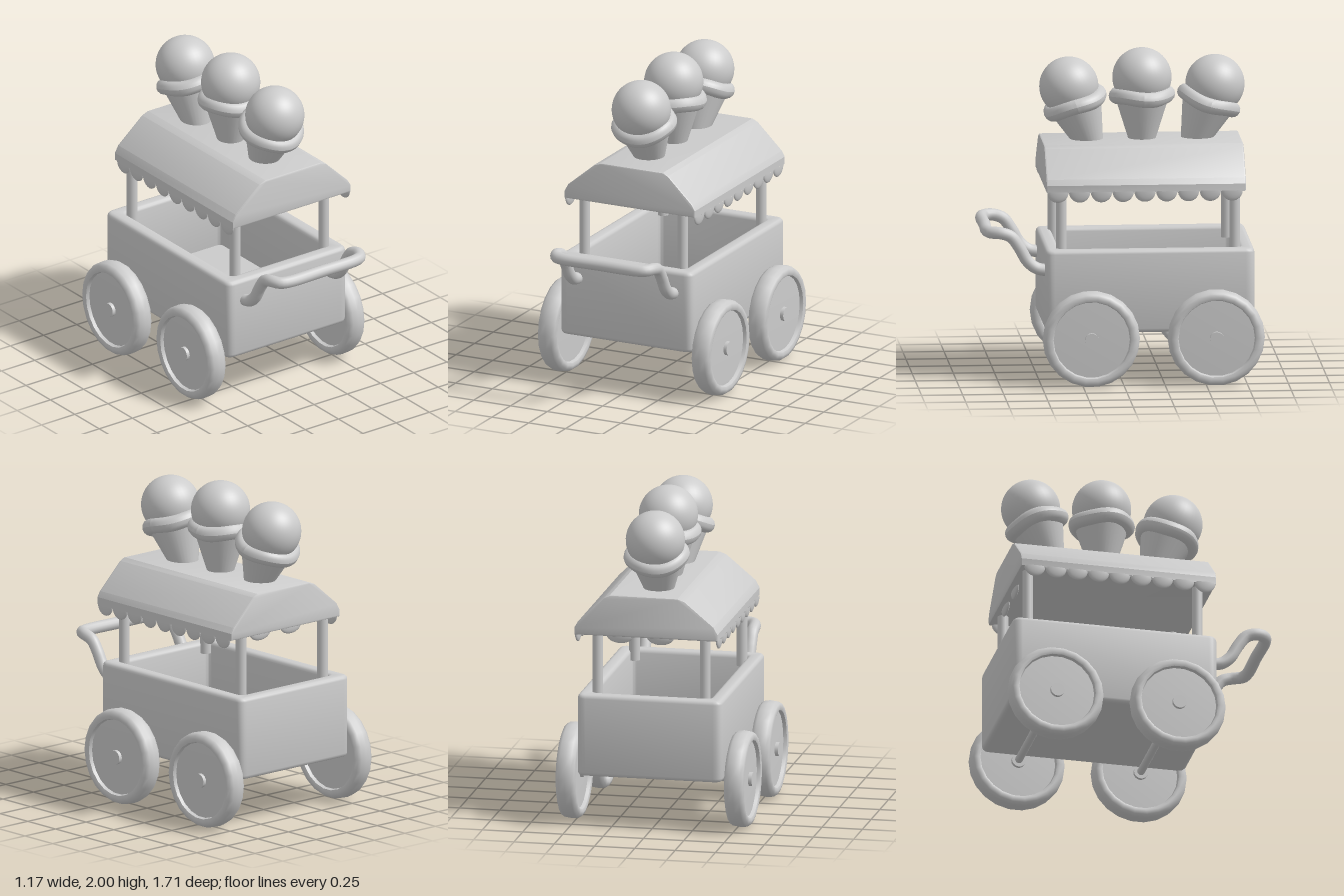
import * as THREE from 'three';
import { toCreasedNormals } from 'three/addons/utils/BufferGeometryUtils.js';

const lightGrey = new THREE.MeshStandardMaterial({ color: 0xcccccc });
lightGrey.name = 'lightGrey';

function add(parent, name, geometry, x = 0, y = 0, z = 0) {
  const mesh = new THREE.Mesh(geometry, lightGrey);
  mesh.name = name;
  mesh.position.set(x, y, z);
  parent.add(mesh);
  return mesh;
}

// Rounded rectangle traced onto a Shape or Path
function roundedRect(path, x0, y0, x1, y1, r) {
  path.moveTo(x0 + r, y0);
  path.lineTo(x1 - r, y0);
  path.quadraticCurveTo(x1, y0, x1, y0 + r);
  path.lineTo(x1, y1 - r);
  path.quadraticCurveTo(x1, y1, x1 - r, y1);
  path.lineTo(x0 + r, y1);
  path.quadraticCurveTo(x0, y1, x0, y1 - r);
  path.lineTo(x0, y0 + r);
  path.quadraticCurveTo(x0, y0, x0 + r, y0);
  return path;
}

// Vertical extrusion of a plan drawn in x and -z
function extrudeUp(shape, height, bevel) {
  const g = new THREE.ExtrudeGeometry(shape, {
    depth: height - 2 * bevel, bevelSize: bevel, bevelThickness: bevel,
    bevelOffset: -bevel, bevelSegments: 3, curveSegments: 5,
  });
  g.translate(0, 0, bevel);
  g.rotateX(-Math.PI / 2);
  return toCreasedNormals(g, 0.7);
}

// Ice cream cone with a scoop and a soft collar
function makeCone(x, y, z, tilt) {
  const cone = new THREE.Group();
  cone.name = 'iceCreamCone';
  add(cone, 'wafer', new THREE.CylinderGeometry(0.158, 0.07, 0.28, 32), 0, 0.14, 0);
  add(cone, 'scoop', new THREE.SphereGeometry(0.18, 40, 28), 0, 0.42, 0);
  const collar = new THREE.TorusGeometry(0.153, 0.049, 14, 48);
  collar.rotateX(Math.PI / 2);
  // gentle waves around the melted edge
  const p = collar.attributes.position;
  for (let i = 0; i < p.count; i++) {
    const a = Math.atan2(p.getZ(i), p.getX(i));
    p.setY(i, p.getY(i) + 0.008 * Math.sin(3 * a + z * 5));
  }
  collar.computeVertexNormals();
  add(cone, 'collar', collar, 0, 0.31, 0);
  cone.position.set(x, y, z);
  cone.rotation.x = tilt;
  return cone;
}

// Wheel with a recessed disc and rounded tyre, axis along x
function makeWheel(x, z) {
  const wheel = new THREE.Group();
  wheel.name = 'wheel';
  const half = [[0.0, 0.042], [0.232, 0.036], [0.238, 0.057], [0.255, 0.063], [0.278, 0.056], [0.291, 0.036], [0.296, 0]];
  const profile = [
    ...half.map(([r, h]) => new THREE.Vector2(r, -h)),
    ...half.slice(0, -1).reverse().map(([r, h]) => new THREE.Vector2(r, h)),
  ];
  const tyre = new THREE.LatheGeometry(profile, 22);
  tyre.rotateZ(Math.PI / 2);
  add(wheel, 'tyre', toCreasedNormals(tyre, 0.75));
  const hub = new THREE.CylinderGeometry(0.043, 0.043, 0.125, 16);
  hub.rotateZ(Math.PI / 2);
  add(wheel, 'hub', hub);
  wheel.position.set(x, 0.297, z);
  return wheel;
}

export function createModel() {
  const cart = new THREE.Group();
  cart.name = 'iceCreamCart';

  // Open tub: walls with a rim, and a floor
  const plan = roundedRect(new THREE.Shape(), -0.44, -0.47, 0.46, 0.8, 0.055);
  plan.holes.push(roundedRect(new THREE.Path(), -0.35, -0.38, 0.37, 0.71, 0.03));
  add(cart, 'tub', extrudeUp(plan, 0.51, 0.025), 0, 0.32, 0);
  const base = roundedRect(new THREE.Shape(), -0.41, -0.44, 0.43, 0.77, 0.04);
  add(cart, 'tubFloor', extrudeUp(base, 0.09, 0.005), 0, 0.32, 0);

  // Corner posts
  for (const x of [-0.315, 0.352]) {
    for (const z of [0.37, -0.685]) {
      add(cart, 'post', new THREE.CylinderGeometry(0.033, 0.033, 0.45, 20), x, 0.99, z);
    }
  }

  // Canopy roof
  const roof = new THREE.Shape();
  [[-0.405, 1.19], [0.485, 1.19], [0.485, 1.235], [0.465, 1.27], [0.30, 1.43], [0.265, 1.447],
    [-0.155, 1.447], [-0.2, 1.43], [-0.38, 1.28], [-0.405, 1.235]]
    .forEach(([x, y], i) => (i ? roof.lineTo(x, y) : roof.moveTo(x, y)));
  const roofGeometry = new THREE.ExtrudeGeometry(roof, {
    depth: 1.195, bevelSize: 0.01, bevelThickness: 0.01, bevelOffset: -0.01, bevelSegments: 2,
  });
  add(cart, 'roof', toCreasedNormals(roofGeometry, 0.45), 0, 0, -0.735);

  // Scalloped trim along both sides and the back
  const scallop = new THREE.SphereGeometry(0.066, 18, 8, 0, Math.PI * 2, Math.PI / 2, Math.PI / 2);
  for (const x of [-0.396, 0.478]) {
    for (let i = 0; i < 9; i++) {
      add(cart, 'scallop', scallop, x, 1.196, 0.4 - i * 0.1325).scale.set(0.25, 1, 1);
    }
  }
  for (const x of [-0.04, 0.21]) {
    add(cart, 'backScallop', scallop, x, 1.194, -0.7).scale.set(1.3, 0.8, 0.25);
  }

  // Push handle, bent up from the front wall
  const arm = [[0.69, 0.45], [0.705, 0.52], [0.75, 0.575], [0.835, 0.625], [0.9, 0.675], [0.923, 0.74]];
  const points = [
    ...arm.map(([y, z]) => new THREE.Vector3(-0.315, y, z)),
    new THREE.Vector3(-0.29, 0.923, 0.793),
    new THREE.Vector3(-0.235, 0.923, 0.812),
    new THREE.Vector3(0.01, 0.923, 0.812),
    new THREE.Vector3(0.255, 0.923, 0.812),
    new THREE.Vector3(0.31, 0.923, 0.793),
    ...arm.slice().reverse().map(([y, z]) => new THREE.Vector3(0.337, y, z)),
  ];
  add(cart, 'handle', new THREE.TubeGeometry(new THREE.CatmullRomCurve3(points), 90, 0.037, 14));

  // Wheels and axles
  for (const z of [0.2, -0.56]) {
    const axle = new THREE.CylinderGeometry(0.024, 0.024, 1.04, 14);
    axle.rotateZ(Math.PI / 2);
    add(cart, 'axle', axle, 0, 0.3, z);
    cart.add(makeWheel(-0.522, z), makeWheel(0.523, z));
  }

  // Three cones on the roof, the outer two leaning outwards
  cart.add(
    makeCone(0.035, 1.375, 0.156, 0.35),
    makeCone(0.03, 1.4, -0.145, 0),
    makeCone(0.015, 1.375, -0.446, -0.35),
  );
  return cart;
}
